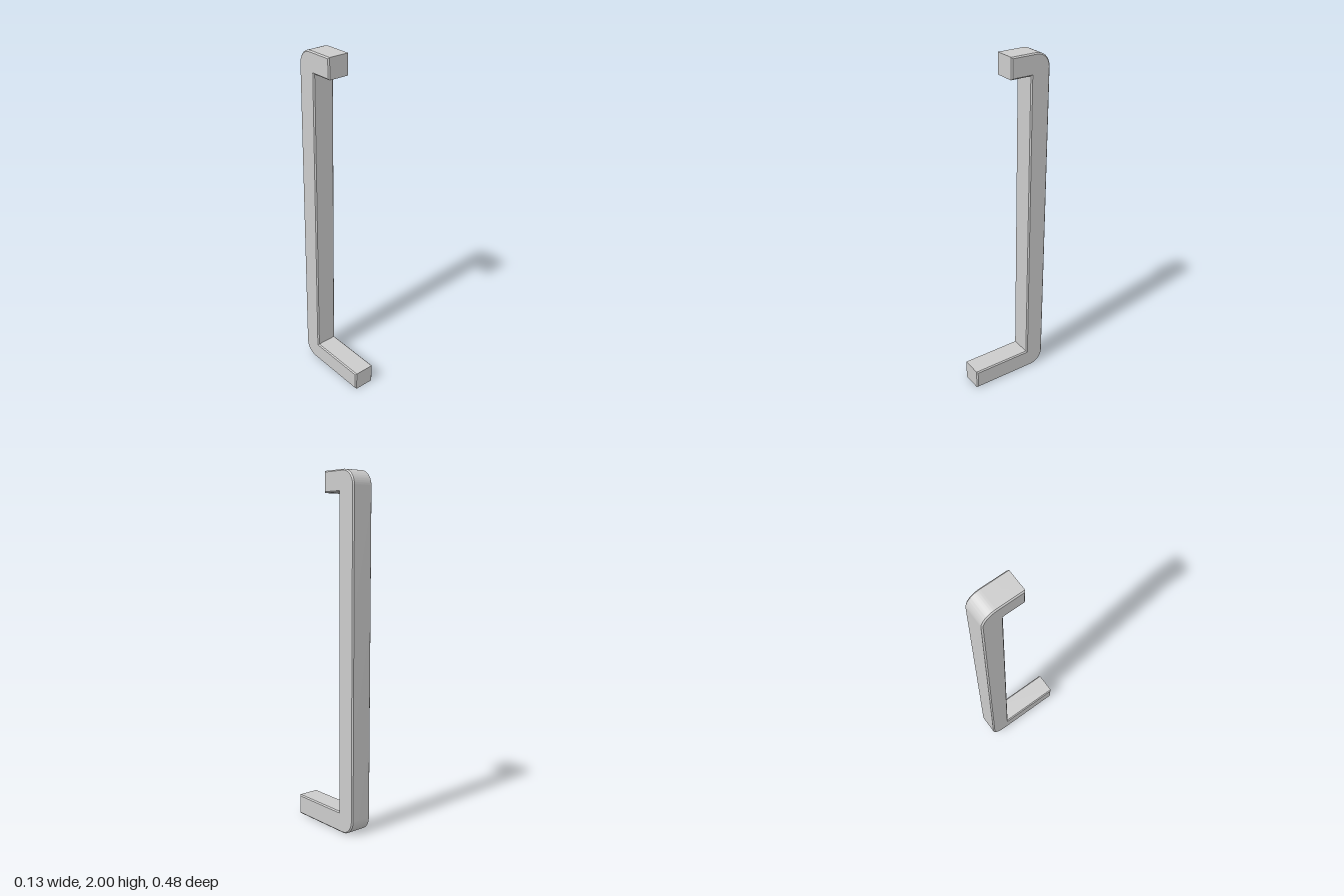
import * as THREE from 'three';
import { toCreasedNormals } from 'three/addons/utils/BufferGeometryUtils.js';

const WIDTH = 0.132;   // across x
const BAR = 0.117;     // bar thickness in the side profile
const DEPTH = 0.24;    // half of the overall depth
const HEIGHT = 2;
const RADIUS = 0.085;  // rounded outer corners
const BEVEL = 0.007;

export function createModel() {
  const group = new THREE.Group();
  group.name = 'pullHandle';

  // Side profile: horizontal axis is -z, vertical axis is y
  const profile = new THREE.Shape();
  profile.moveTo(-DEPTH, 0);
  profile.lineTo(DEPTH - RADIUS, 0);
  profile.absarc(DEPTH - RADIUS, RADIUS, RADIUS, -Math.PI / 2, 0, false);
  profile.lineTo(DEPTH, HEIGHT - RADIUS);
  profile.absarc(DEPTH - RADIUS, HEIGHT - RADIUS, RADIUS, 0, Math.PI / 2, false);
  profile.lineTo(0, HEIGHT);
  profile.lineTo(0, HEIGHT - BAR);
  profile.lineTo(DEPTH - BAR, HEIGHT - BAR);
  profile.lineTo(DEPTH - BAR, BAR);
  profile.lineTo(-DEPTH, BAR);
  profile.closePath();

  // Bar with a long lower arm, a short upper arm and chamfered side edges
  const depth = WIDTH - 2 * BEVEL;
  const bar = new THREE.ExtrudeGeometry(profile, {
    depth,
    curveSegments: 12,
    bevelEnabled: true,
    bevelThickness: BEVEL,
    bevelSize: BEVEL,
    bevelOffset: -BEVEL,
    bevelSegments: 1,
  });
  bar.translate(0, 0, -depth / 2);
  bar.rotateY(Math.PI / 2);

  const mesh = new THREE.Mesh(
    toCreasedNormals(bar, 0.5),
    new THREE.MeshStandardMaterial({ color: 0xcccccc })
  );
  mesh.name = 'handleBar';
  group.add(mesh);
  return group;
}
